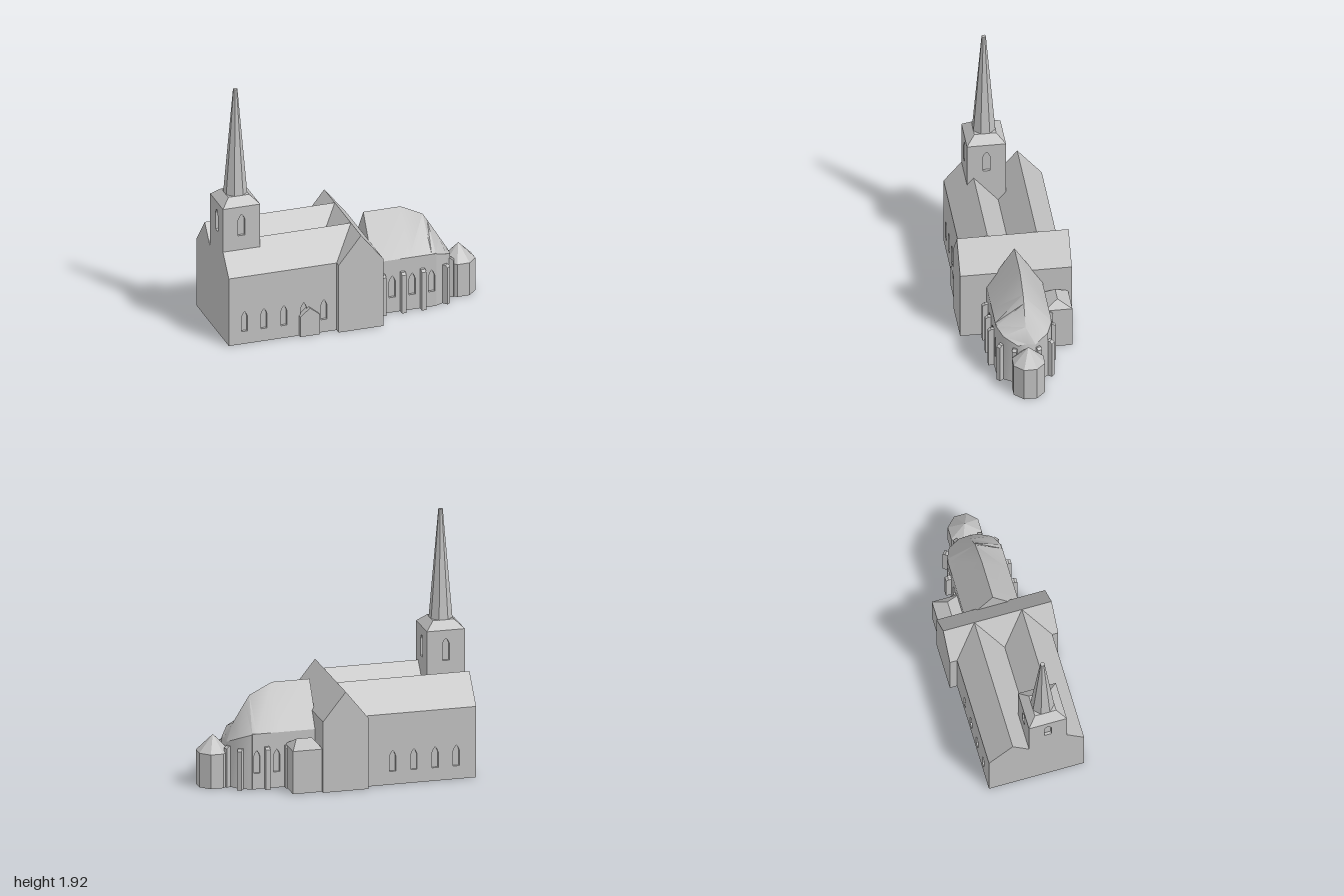
import * as THREE from 'three';
import { toCreasedNormals } from 'three/addons/utils/BufferGeometryUtils.js';

const D = 0.02; // depth of the window recesses

export function createModel() {
  const church = new THREE.Group();
  church.name = 'church';
  const stone = new THREE.MeshStandardMaterial({ color: 0xc0c0c0 });
  stone.name = 'stoneGrey';

  const add = (name, geometry, x = 0, y = 0, z = 0, parent = church) => {
    const mesh = new THREE.Mesh(geometry, stone);
    mesh.name = name;
    mesh.position.set(x, y, z);
    parent.add(mesh);
    return mesh;
  };
  const outline = (pts) => new THREE.Shape(pts.map((p) => new THREE.Vector2(...p)));
  const extrude = (shape, depth) =>
    new THREE.ExtrudeGeometry(shape, { depth, bevelEnabled: false });
  const flat = (g) => {
    const f = g.index ? g.toNonIndexed() : g;
    f.computeVertexNormals();
    return f;
  };

  // Wall plate in the xy plane, pierced by pointed windows
  const wall = (x0, x1, y0, y1, windows, sill, tip, half = 0.024) => {
    const shape = outline([[x0, y0], [x1, y0], [x1, y1], [x0, y1]]);
    for (const x of windows) {
      const spring = tip - 0.045;
      shape.holes.push(outline([
        [x - half, sill], [x - half, spring], [x - half * 0.55, tip - 0.018], [x, tip],
        [x + half * 0.55, tip - 0.018], [x + half, spring], [x + half, sill],
      ]));
    }
    return extrude(shape, D);
  };

  // Nave with twin gables, the walls set over a slightly narrower core
  const zN = -0.355, zF = 0.365, eave = 0.54, ridge = 0.755;
  const naveProfile = [
    [zN + D, 0], [zN + D, eave], [zN, eave], [-0.175, ridge], [0.005, eave],
    [0.185, ridge], [zF, eave], [zF - D, eave], [zF - D, 0],
  ].map(([z, y]) => [-z, y]);
  add('nave', extrude(outline(naveProfile), 1).rotateY(Math.PI / 2), -1);
  add('naveFrontWall',
    wall(-1, -0.1, 0, eave, [-0.88, -0.73, -0.577, -0.425, -0.27], 0.1, 0.26), 0, 0, zF - D);
  add('naveBackWall',
    wall(-1, -0.1, 0, eave, [-0.85, -0.69, -0.53, -0.37], 0.1, 0.26), 0, 0, zN);

  // Transept and porch, gabled prisms running along z
  const gabled = (w, e, r, depth) =>
    extrude(outline([[-w, 0], [w, 0], [w, e], [0, r], [-w, e]]), depth);
  add('transept', gabled(0.172, eave, ridge, 0.82), 0, 0, -0.41);
  add('porch', gabled(0.075, 0.16, 0.222, 0.06), -0.385, 0, 0.332);

  // Tower with one window in each side
  const tower = new THREE.Group();
  tower.name = 'tower';
  tower.position.set(-0.857, 0, 0.091);
  church.add(tower);
  const T = 0.143;
  add('towerCore', new THREE.BoxGeometry(2 * (T - D), 0.54, 2 * (T - D)), 0, 0.769, 0, tower);
  for (let i = 0; i < 4; i++) {
    const g = wall(-T, T, 0.5, 1.04, [0], 0.81, 0.98, 0.027);
    add('towerWall', g.translate(0, 0, T - D).rotateY(i * Math.PI / 2), 0, 0, 0, tower);
  }
  const skirt = new THREE.CylinderGeometry(0.08 * Math.SQRT2, T * Math.SQRT2, 0.06, 4);
  add('spireSkirt', flat(skirt.rotateY(Math.PI / 4)), 0, 1.07, 0, tower);
  const c8 = Math.cos(Math.PI / 8);
  const spire = new THREE.CylinderGeometry(0.015 / c8, 0.081 / c8, 0.83, 8);
  add('spire', flat(spire.rotateY(Math.PI / 8)), 0, 1.51, 0, tower);

  // Choir and apse: sections along x of [x, half width, wall inset, eave, ridge]
  const zC = 0.01;
  const sections = [
    [0.155, 0.205, D, 0.42, 0.74], [0.44, 0.205, D, 0.42, 0.74],
    [0.61, 0.205, D, 0.42, 0.655], [0.645, 0.203, D, 0.415, 0.6],
    [0.645, 0.203, 0, 0.415, 0.6], [0.735, 0.163, 0, 0.385, 0.453],
    [0.8, 0.065, 0, 0.335, 0.347],
  ];
  const N = 7, pos = [], idx = [];
  for (const [x, h, inset, e, r] of sections) {
    const w = h - inset;
    for (const [z, y] of [[-w, 0], [-w, e], [-h, e], [0, r], [h, e], [w, e], [w, 0]])
      pos.push(x, y, z);
  }
  const last = (sections.length - 1) * N;
  for (let k = 0; k < N; k++) {
    const k2 = (k + 1) % N;
    for (let s = 0; s < last; s += N)
      idx.push(s + k, s + k2, s + N + k, s + k2, s + N + k2, s + N + k);
    if (k !== 3 && k2 !== 3) {
      idx.push(3, k2, k, last + 3, last + k, last + k2);
    }
  }
  const choir = new THREE.BufferGeometry();
  choir.setAttribute('position', new THREE.Float32BufferAttribute(pos, 3));
  choir.setIndex(idx);
  add('choir', toCreasedNormals(choir, 0.6), 0, 0, zC);
  add('choirFrontWall',
    wall(0.155, 0.645, 0, 0.42, [0.307, 0.46, 0.61], 0.12, 0.293), 0, 0, zC + 0.205 - D);
  add('choirBackWall',
    wall(0.155, 0.645, 0, 0.42, [0.46, 0.61], 0.12, 0.293), 0, 0, zC - 0.205);

  // Buttresses with sloping caps, turned to face away from the wall
  const buttress = (x, z, angle, height) => {
    const g = extrude(outline([
      [-0.03, 0], [0.046, 0], [0.046, height - 0.015], [0.026, height], [-0.03, height],
    ]), 0.034);
    add('buttress', g.translate(0, 0, -0.017).rotateY(angle), x, 0, z);
  };
  for (const x of [0.23, 0.385, 0.537]) buttress(x, zC + 0.202, -Math.PI / 2, 0.32);
  for (const x of [0.385, 0.537]) buttress(x, zC - 0.202, Math.PI / 2, 0.32);
  for (const s of [1, -1]) {
    buttress(0.715, zC + s * 0.166, -s * 0.9, 0.31);
    buttress(0.775, zC + s * 0.078, -s * 0.4, 0.31);
  }

  // Sacristy with a hipped roof, in the corner behind the choir
  add('sacristy', new THREE.BoxGeometry(0.225, 0.325, 0.205), 0.278, 0.1625, -0.28);
  const hip = new THREE.BoxGeometry(0.225, 0.062, 0.205);
  const hp = hip.attributes.position;
  for (let i = 0; i < hp.count; i++) {
    if (hp.getY(i) > 0) {
      hp.setX(i, hp.getX(i) * 0.52);
      hp.setZ(i, 0);
    }
  }
  add('sacristyRoof', flat(hip), 0.278, 0.356, -0.28);

  // Octagonal chapel at the east end
  const R = 0.115 / c8;
  const chapel = new THREE.CylinderGeometry(R, R, 0.26, 8).rotateY(Math.PI / 8);
  add('chapel', flat(chapel), 0.885, 0.13, 0.01);
  const cap = new THREE.ConeGeometry(R, 0.122, 8).rotateY(Math.PI / 8);
  add('chapelRoof', flat(cap), 0.885, 0.321, 0.01);

  return church;
}
